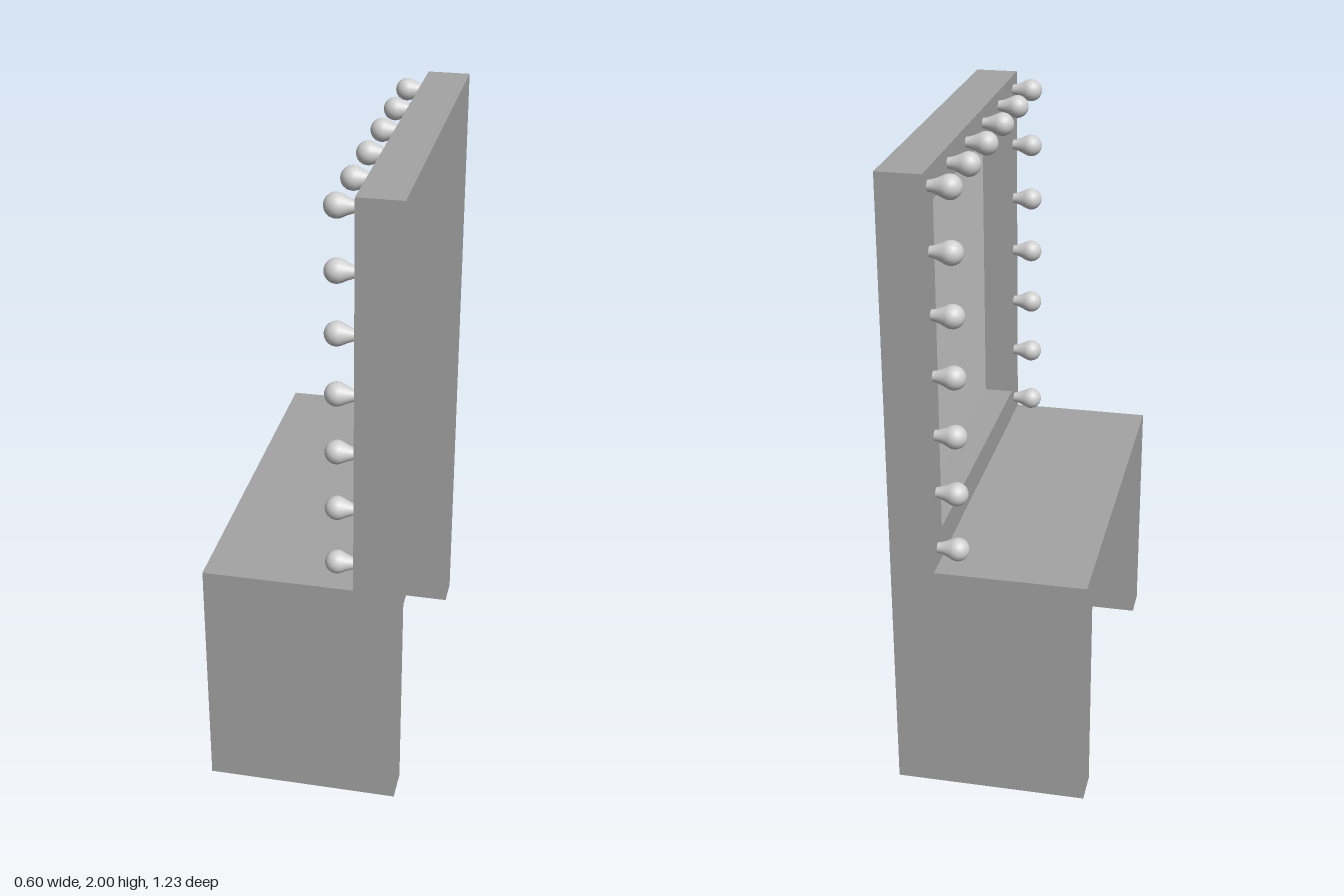
import * as THREE from 'three';

const HALF = 0.613; // half width along z
const X0 = -0.3, X1 = 0.3; // depth range
const FRAME_X = 0.165, MIRROR_X = 0.265; // frame face and mirror face
const TABLE_Y = 0.77, TOP = 2, BORDER = 0.105;

const body = new THREE.MeshStandardMaterial({ color: 0xa3a3a3 });
body.name = 'body grey';
const glass = new THREE.MeshStandardMaterial({ color: 0xc8c8c8 });
glass.name = 'mirror grey';
const bulbGlass = new THREE.MeshStandardMaterial({ color: 0xd0d0d0 });
bulbGlass.name = 'bulb white';

function polygon(points, Type = THREE.Shape) {
  return new Type(points.map(([a, b]) => new THREE.Vector2(a, b)));
}

function rect(a, b0, b1) {
  return [[-a, b0], [a, b0], [a, b1], [-a, b1]];
}

// Extrudes a shape drawn across the width so that it spans x from 'from' to 'to'
function slab(name, shape, from, to, material) {
  const geometry = new THREE.ExtrudeGeometry(shape, { depth: to - from, bevelEnabled: false });
  geometry.rotateY(Math.PI / 2).translate(from, 0, 0);
  const mesh = new THREE.Mesh(geometry, material);
  mesh.name = name;
  return mesh;
}

export function createModel() {
  const model = new THREE.Group();
  model.name = 'vanityTable';

  // Table: top and two side panels in one bridge-shaped piece
  const leg = 0.507, under = 0.668;
  const bridge = polygon([
    [-HALF, 0], [-leg, 0], [-leg, under], [leg, under],
    [leg, 0], [HALF, 0], [HALF, TABLE_Y], [-HALF, TABLE_Y],
  ]);
  model.add(slab('table', bridge, X0, X1, body));

  // Mirror frame with a recess, closed by a backboard
  const inner = rect(HALF - BORDER, TABLE_Y + 0.1, TOP - 0.1);
  const frame = polygon(rect(HALF, TABLE_Y, TOP));
  frame.holes.push(polygon(inner, THREE.Path));
  model.add(slab('mirrorFrame', frame, FRAME_X, MIRROR_X, body));
  model.add(slab('backboard', polygon(rect(HALF, TABLE_Y, TOP)), MIRROR_X, X1, body));
  model.add(slab('mirror', polygon(inner), MIRROR_X - 0.004, MIRROR_X, glass));

  // Bulb profile: narrow neck on the frame, round globe at the tip
  const R = 0.036, centre = 0.061;
  const profile = [[0.016, 0], [0.018, 0.012], [0.024, 0.028]];
  for (let i = 0; i <= 10; i++) {
    const t = -0.5 + (i / 10) * (Math.PI / 2 + 0.5);
    profile.push([Math.max(0, R * Math.cos(t)), centre + R * Math.sin(t)]);
  }
  const bulbGeometry = new THREE.LatheGeometry(profile.map(([r, h]) => new THREE.Vector2(r, h)), 24);
  bulbGeometry.rotateZ(Math.PI / 2); // globe points to -x

  const bulbs = new THREE.Group();
  bulbs.name = 'bulbs';
  const addBulb = (y, z) => {
    const bulb = new THREE.Mesh(bulbGeometry, bulbGlass);
    bulb.name = 'bulb';
    bulb.position.set(FRAME_X, y, z);
    bulbs.add(bulb);
  };
  // Columns of seven on both sides, joined by a row along the top
  const rows = 7, columns = 6, topY = 1.953, stepY = 0.1875, firstZ = -0.558, stepZ = 0.2225;
  for (let c = 0; c < columns; c++) {
    const count = c === 0 || c === columns - 1 ? rows : 1;
    for (let r = 0; r < count; r++) addBulb(topY - r * stepY, firstZ + c * stepZ);
  }
  model.add(bulbs);
  return model;
}
